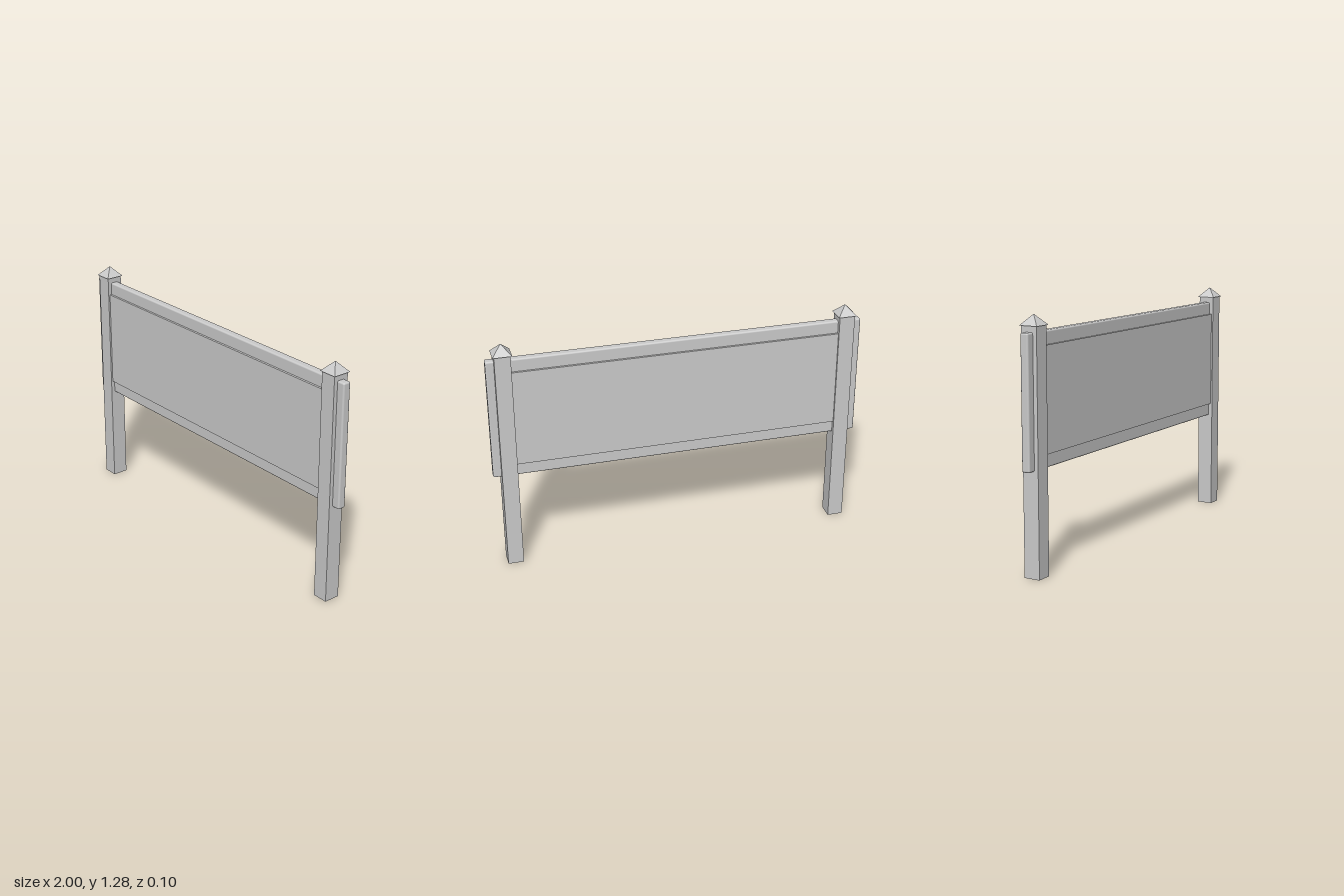
import * as THREE from 'three';
import { RoundedBoxGeometry } from 'three/addons/geometries/RoundedBoxGeometry.js';

const material = new THREE.MeshStandardMaterial({ color: 0xcccccc });
const flatMaterial = new THREE.MeshStandardMaterial({ color: 0xcccccc, flatShading: true });

function addPart(parent, name, geometry, mat, x, y, z) {
  const mesh = new THREE.Mesh(geometry, mat);
  mesh.name = name;
  mesh.position.set(x, y, z);
  parent.add(mesh);
  return mesh;
}

export function createModel() {
  const model = new THREE.Group();
  model.name = 'signBoard';

  // Slab with rounded edges, running through both posts
  addPart(model, 'backingSlab', new RoundedBoxGeometry(2, 0.664, 0.044, 3, 0.009), material, 0, 0.863, 0);

  // Raised panel between the posts, standing proud of the slab on both faces
  addPart(model, 'raisedPanel', new THREE.BoxGeometry(1.76, 0.527, 0.068), material, 0, 0.8635, 0);

  // Square posts with pyramid caps
  const postHeight = 1.225;
  const capHeight = 0.053;
  for (const side of [1, -1]) {
    const post = new THREE.Group();
    post.name = side > 0 ? 'leftPost' : 'rightPost';
    post.position.x = side * 0.915;
    addPart(post, 'shaft', new THREE.BoxGeometry(0.084, postHeight, 0.086), material, 0, postHeight / 2, 0);
    const cap = new THREE.ConeGeometry(0.05 * Math.SQRT2, capHeight, 4).rotateY(Math.PI / 4);
    addPart(post, 'cap', cap, flatMaterial, 0, postHeight + capHeight / 2, 0);
    model.add(post);
  }

  return model;
}
